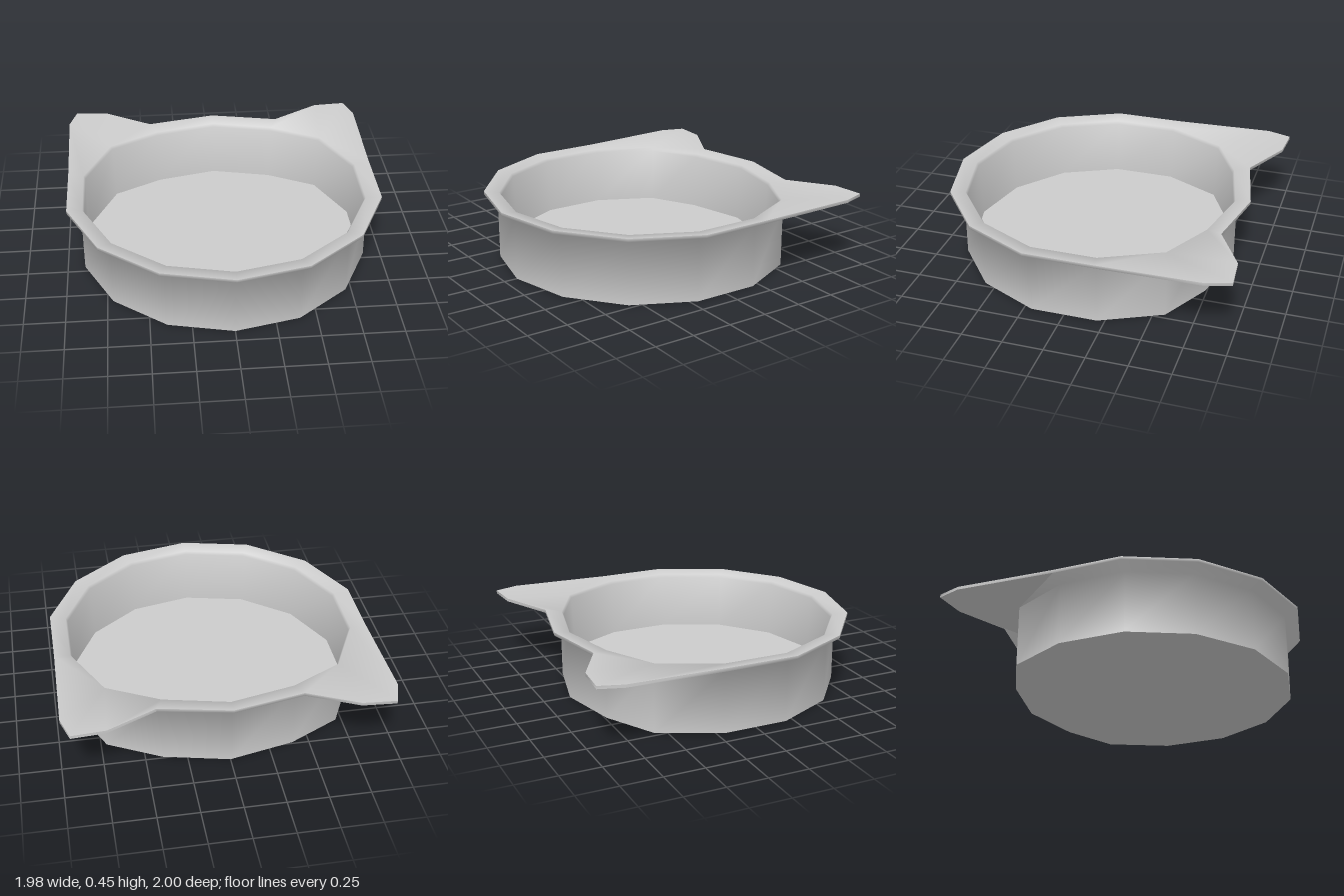
import * as THREE from 'three';
import { toCreasedNormals } from 'three/addons/utils/BufferGeometryUtils.js';

// Half outlines run from the front (+z) round the +x side to the back (-z).
// Mirror one into a closed loop of [x, y, z] points.
function mirrorLoop(half) {
  const back = half.slice(1, -1).reverse().map(([x, y, z]) => [-x, y, z]);
  return [...half, ...back];
}

// Bowl outline: 14 sides, with the back pushed in between the ears.
// The ear corner is listed three times so it meets the three ear points.
function bowlLoop(radius, y) {
  const half = [];
  for (const k of [0, 1, 2, 3, 4, 5, 5, 5, 6, 7]) {
    const a = (k * Math.PI) / 7;
    const x = k === 7 ? 0 : Math.sin(a) * radius;
    half.push([x, y, Math.cos(a) * radius + (k > 5 ? 0.085 : 0)]);
  }
  return mirrorLoop(half);
}

// Outer edge of the rim, with the two pointed ears at the back corners
function rimLoop(y, earY) {
  return mirrorLoop([
    [0, y, 1], [0.435, y, 0.9], [0.787, y, 0.62], [0.98, y, 0.217],
    [0.98, y, -0.215], [0.988, earY, -0.85], [0.94, earY, -1],
    [0.735, earY, -0.985], [0.435, y, -0.825], [0, y, -0.915],
  ]);
}

// Skin a series of loops, leaving out collapsed triangles
function skin(loops) {
  const pos = [];
  const same = (p, q) => p.every((v, i) => Math.abs(v - q[i]) < 1e-6);
  const tri = (a, b, c) => {
    if (!same(a, b) && !same(b, c) && !same(a, c)) pos.push(...a, ...b, ...c);
  };
  for (let j = 0; j < loops.length - 1; j++) {
    const lo = loops[j], hi = loops[j + 1];
    for (let i = 0; i < lo.length; i++) {
      const n = (i + 1) % lo.length;
      tri(lo[i], lo[n], hi[n]);
      tri(lo[i], hi[n], hi[i]);
    }
  }
  const geo = new THREE.BufferGeometry();
  geo.setAttribute('position', new THREE.Float32BufferAttribute(pos, 3));
  return toCreasedNormals(geo, 1.38);
}

export function createModel() {
  const group = new THREE.Group();
  const centre = (y) => bowlLoop(0, y).map(() => [0, y, 0]);

  // One continuous shell, from the underside out over the rim to the floor
  const tray = new THREE.Mesh(
    skin([
      centre(0), // underside
      bowlLoop(0.915, 0), // outer wall
      bowlLoop(0.915, 0.388),
      rimLoop(0.42, 0.432), // flared rim with ears
      rimLoop(0.44, 0.451),
      bowlLoop(0.905, 0.428), // softened inner edge
      bowlLoop(0.893, 0.408),
      bowlLoop(0.875, 0.06), // inner wall
      centre(0.06), // floor
    ]),
    new THREE.MeshStandardMaterial({ color: 0xcccccc }),
  );
  tray.name = 'earedTray';
  group.add(tray);

  return group;
}
